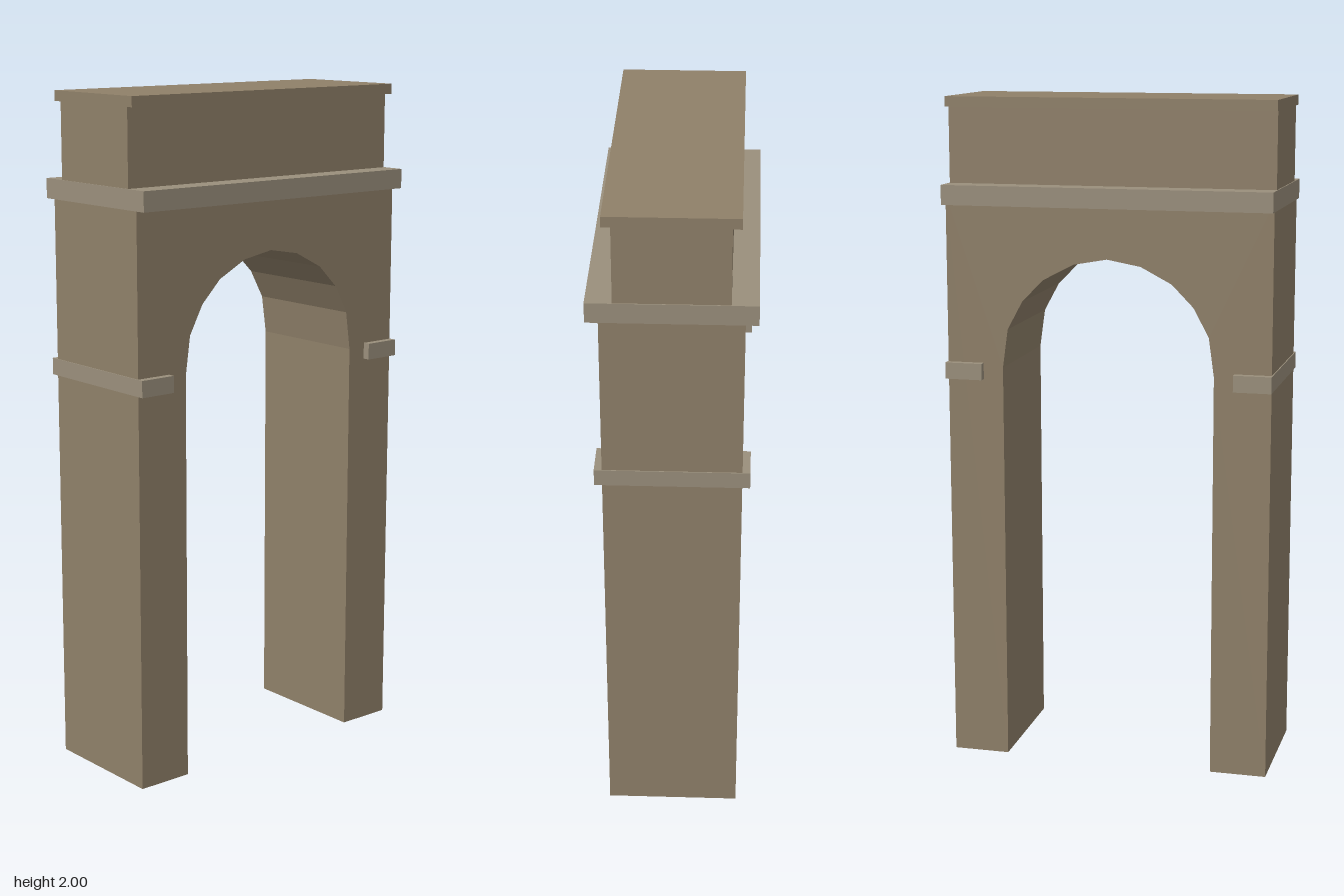
import * as THREE from 'three';

const stone = new THREE.MeshStandardMaterial({ color: 0x8f8069, flatShading: true, side: THREE.DoubleSide });
const trim = new THREE.MeshStandardMaterial({ color: 0x9a8f7c, flatShading: true, side: THREE.DoubleSide });

const HALF_LENGTH = 0.487; // along z
const HALF_DEPTH = 0.195;  // along x
const BODY_TOP = 1.72;

// Box given by its half width, y range and z range
function block(name, halfX, y0, y1, z0, z1, material) {
  const mesh = new THREE.Mesh(new THREE.BoxGeometry(2 * halfX, y1 - y0, z1 - z0), material);
  mesh.position.set(0, (y0 + y1) / 2, (z0 + z1) / 2);
  mesh.name = name;
  return mesh;
}

// Drops the triangles lying on the ground, leaving the hollow piers open below
function openBottom(geometry) {
  const flat = geometry.index ? geometry.toNonIndexed() : geometry;
  const p = flat.attributes.position;
  const kept = [];
  for (let i = 0; i < p.count; i += 3) {
    if (Math.max(p.getY(i), p.getY(i + 1), p.getY(i + 2)) < 1e-4) continue;
    for (let j = i; j < i + 3; j++) kept.push(p.getX(j), p.getY(j), p.getZ(j));
  }
  const result = new THREE.BufferGeometry();
  result.setAttribute('position', new THREE.Float32BufferAttribute(kept, 3));
  result.computeVertexNormals();
  return result;
}

// Two piers joined by a faceted round arch, drawn in z and y, extruded along x
function archBody() {
  const half = [[0.318, 1.21], [0.302, 1.325], [0.256, 1.41], [0.192, 1.475], [0.1, 1.523]];
  const opening = [
    [0.318, 0], ...half, [0, 1.541],
    ...half.slice().reverse().map(([z, y]) => [-z, y]), [-0.318, 0],
  ];
  const outline = [[-HALF_LENGTH, 0], [-HALF_LENGTH, BODY_TOP], [HALF_LENGTH, BODY_TOP], [HALF_LENGTH, 0], ...opening];
  const shape = new THREE.Shape(outline.map(([z, y]) => new THREE.Vector2(z, y)));
  const geometry = new THREE.ExtrudeGeometry(shape, { depth: 2 * HALF_DEPTH, bevelEnabled: false });
  geometry.translate(0, 0, -HALF_DEPTH).rotateY(-Math.PI / 2);
  const mesh = new THREE.Mesh(openBottom(geometry), stone);
  mesh.name = 'archBody';
  return mesh;
}

export function createModel() {
  const group = new THREE.Group();
  group.name = 'archway';
  group.add(archBody());

  // Impost bands around the outer part of each pier
  group.add(block('frontImpost', 0.217, 1.173, 1.222, 0.378, 0.49, trim));
  group.add(block('backImpost', 0.217, 1.173, 1.222, -0.49, -0.378, trim));

  // Cornice, attic and coping
  group.add(block('cornice', 0.231, 1.69, 1.748, -0.489, 0.489, trim));
  group.add(block('attic', 0.157, 1.74, 1.975, -0.486, 0.486, stone));
  group.add(block('coping', 0.182, 1.97, 2, -0.489, 0.489, stone));
  return group;
}
